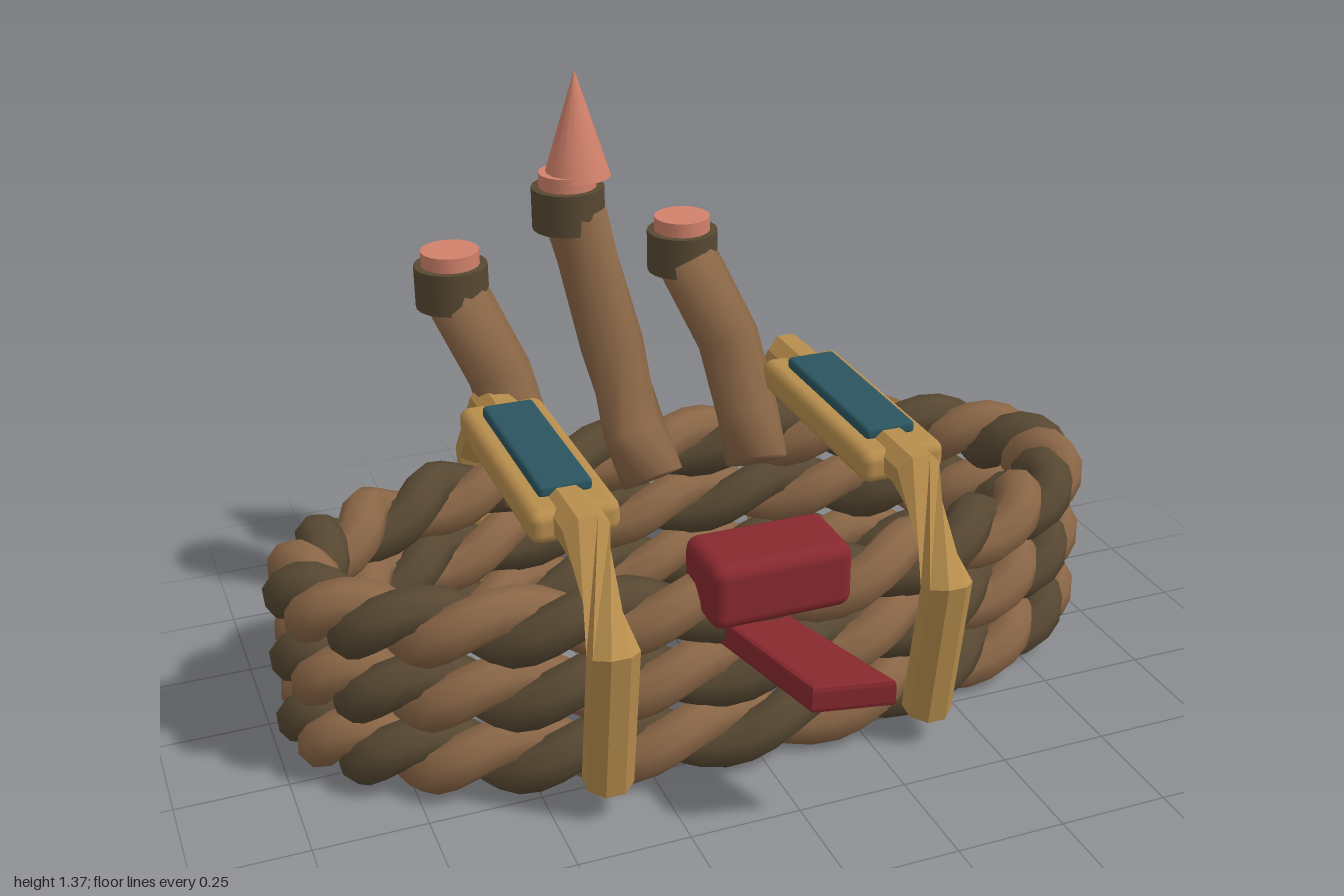
import * as THREE from 'three';
import { RoundedBoxGeometry } from 'three/addons/geometries/RoundedBoxGeometry.js';

const material = (name, color) => Object.assign(new THREE.MeshStandardMaterial({ color }), { name });

const V = (x, y, z) => new THREE.Vector3(x, y, z);

// Sweeps a round section along points; twist turns each ring, ref sets the frame.
function sweep(points, radius, sides, { ref = V(1, 0, 0), closed = false, twist = [] } = {}) {
  const pos = [], idx = [], n = points.length;
  points.forEach((p, i) => {
    const a = points[closed ? (i + n - 1) % n : Math.max(i - 1, 0)];
    const b = points[closed ? (i + 1) % n : Math.min(i + 1, n - 1)];
    const into = p.clone().sub(a).normalize(), out = b.clone().sub(p).normalize();
    const t = into.add(out).normalize();
    const u = ref.clone().addScaledVector(t, -ref.dot(t)).normalize();
    const v = t.clone().cross(u);
    for (let j = 0; j < sides; j++) {
      const ang = ((j + 0.5) / sides) * Math.PI * 2 + (twist[i] || 0);
      const q = p.clone().addScaledVector(u, Math.cos(ang) * radius).addScaledVector(v, Math.sin(ang) * radius);
      pos.push(q.x, q.y, q.z);
    }
  });
  for (let i = 0; i < (closed ? n : n - 1); i++) {
    for (let j = 0; j < sides; j++) {
      const k = (j + 1) % sides, r0 = i * sides, r1 = ((i + 1) % n) * sides;
      idx.push(r0 + j, r0 + k, r1 + j, r0 + k, r1 + k, r1 + j);
    }
  }
  if (!closed) {
    const last = (n - 1) * sides;
    for (let j = 1; j < sides - 1; j++) idx.push(0, j + 1, j, last, last + j, last + j + 1);
  }
  const g = new THREE.BufferGeometry();
  g.setAttribute('position', new THREE.Float32BufferAttribute(pos, 3));
  g.setIndex(idx);
  g.computeVertexNormals();
  return g;
}

export function createModel() {
  const model = new THREE.Group();
  model.name = 'ropeCrown';
  const brown = material('brown rope', 0x8a6646);
  const dark = material('dark bark', 0x574832);
  const gold = material('tan strap', 0xb78d4c);
  const teal = material('teal pad', 0x2b5560);
  const red = material('red cloth', 0x88292f);
  const copper = material('copper tip', 0xd2826b);

  const add = (name, geometry, mat, x = 0, y = 0, z = 0, parent = model) => {
    const mesh = new THREE.Mesh(geometry, mat);
    mesh.name = name;
    mesh.position.set(x, y, z);
    parent.add(mesh);
    return mesh;
  };

  // Three stacked oval rings, each of two strands twisted together
  const strand = (phase) => {
    const pts = [], steps = 132, turns = 12, off = 0.036;
    for (let i = 0; i < steps; i++) {
      const th = (i / steps) * Math.PI * 2, f = phase - turns * th;
      const o = Math.cos(f) * off;
      pts.push(V((0.91 + o) * Math.cos(th), Math.sin(f) * off, (0.385 + o) * Math.sin(th)));
    }
    return sweep(pts, 0.054, 8, { ref: V(0, 1, 0), closed: true });
  };
  const darkStrand = strand(0), brownStrand = strand(Math.PI);
  for (let i = 0; i < 3; i++) {
    const ring = new THREE.Group();
    ring.name = 'ropeRing' + (i + 1);
    ring.position.set(0, 0.088 + i * 0.16, -0.12);
    model.add(ring);
    add('darkStrand', darkStrand, dark, 0, 0, 0, ring);
    add('brownStrand', brownStrand, brown, 0, 0, 0, ring);
  }

  // Straps over the rings, twisted at the front shoulder, with padded tops
  const strapPath = [[0.08, 0.345], [0.43, 0.405], [0.625, 0.24], [0.625, -0.45], [0.43, -0.615], [0.08, -0.56]]
    .map(([y, z]) => V(0, y, z));
  const strapGeo = sweep(strapPath, 0.056, 8, { twist: [0, 0, 2.36, 2.36, 2.36, 2.36] }).toNonIndexed();
  strapGeo.computeVertexNormals();
  for (const s of [-1, 1]) {
    const strap = new THREE.Group();
    strap.name = s > 0 ? 'leftStrap' : 'rightStrap';
    strap.position.x = s * 0.38;
    model.add(strap);
    add('band', strapGeo, gold, 0, 0, 0, strap);
    add('cushion', new RoundedBoxGeometry(0.2, 0.076, 0.585, 2, 0.025), gold, 0, 0.618, -0.103, strap);
    add('pad', new RoundedBoxGeometry(0.12, 0.03, 0.44, 2, 0.01), teal, 0, 0.666, -0.105, strap);
  }

  // Red knot and its slanted tongue
  add('redKnot', new RoundedBoxGeometry(0.32, 0.15, 0.185, 3, 0.03), red, 0, 0.495, 0.312);
  const tongue = new THREE.Shape([[-0.105, 0.28], [0.01, 0.28], [0.125, 0.648], [-0.027, 0.615]]
    .map(([x, z]) => new THREE.Vector2(x, -z)));
  const tongueGeo = new THREE.ExtrudeGeometry(tongue, {
    depth: 0.04, bevelThickness: 0.012, bevelSize: 0.01, bevelSegments: 2,
  }).rotateX(-Math.PI / 2);
  add('redTongue', tongueGeo, red, 0, 0.343, 0);

  // Three bent stumps at the back, each with a bark collar and copper end
  const stumps = [
    { name: 'rightStump', x: -0.44, z: -0.54, y: 0.85, path: [[-0.32, 0.42, -0.32], [-0.325, 0.52, -0.39], [-0.355, 0.69, -0.47], [-0.435, 0.88, -0.53]] },
    { name: 'middleStump', x: -0.148, z: -0.55, y: 1.0, twist: [0, 0, 1.3, 2.4], path: [[-0.03, 0.42, -0.32], [-0.05, 0.52, -0.39], [-0.075, 0.72, -0.47], [-0.135, 1.03, -0.54]] },
    { name: 'leftStump', x: 0.143, z: -0.565, y: 0.85, path: [[0.24, 0.42, -0.32], [0.245, 0.52, -0.39], [0.225, 0.69, -0.47], [0.148, 0.88, -0.545]] },
  ];
  for (const s of stumps) {
    const stump = new THREE.Group();
    stump.name = s.name;
    model.add(stump);
    add('trunk', sweep(s.path.map((p) => V(...p)), 0.076, 10, { twist: s.twist }), brown, 0, 0, 0, stump);
    add('collar', new THREE.CylinderGeometry(0.086, 0.086, 0.1, 20), dark, s.x, s.y + 0.05, s.z, stump);
    add('copperEnd', new THREE.CylinderGeometry(0.068, 0.068, 0.05, 20), copper, s.x, s.y + 0.11, s.z, stump);
  }
  add('copperSpike', new THREE.ConeGeometry(0.079, 0.25, 16), copper, -0.123, 1.248, -0.55);

  return model;
}
